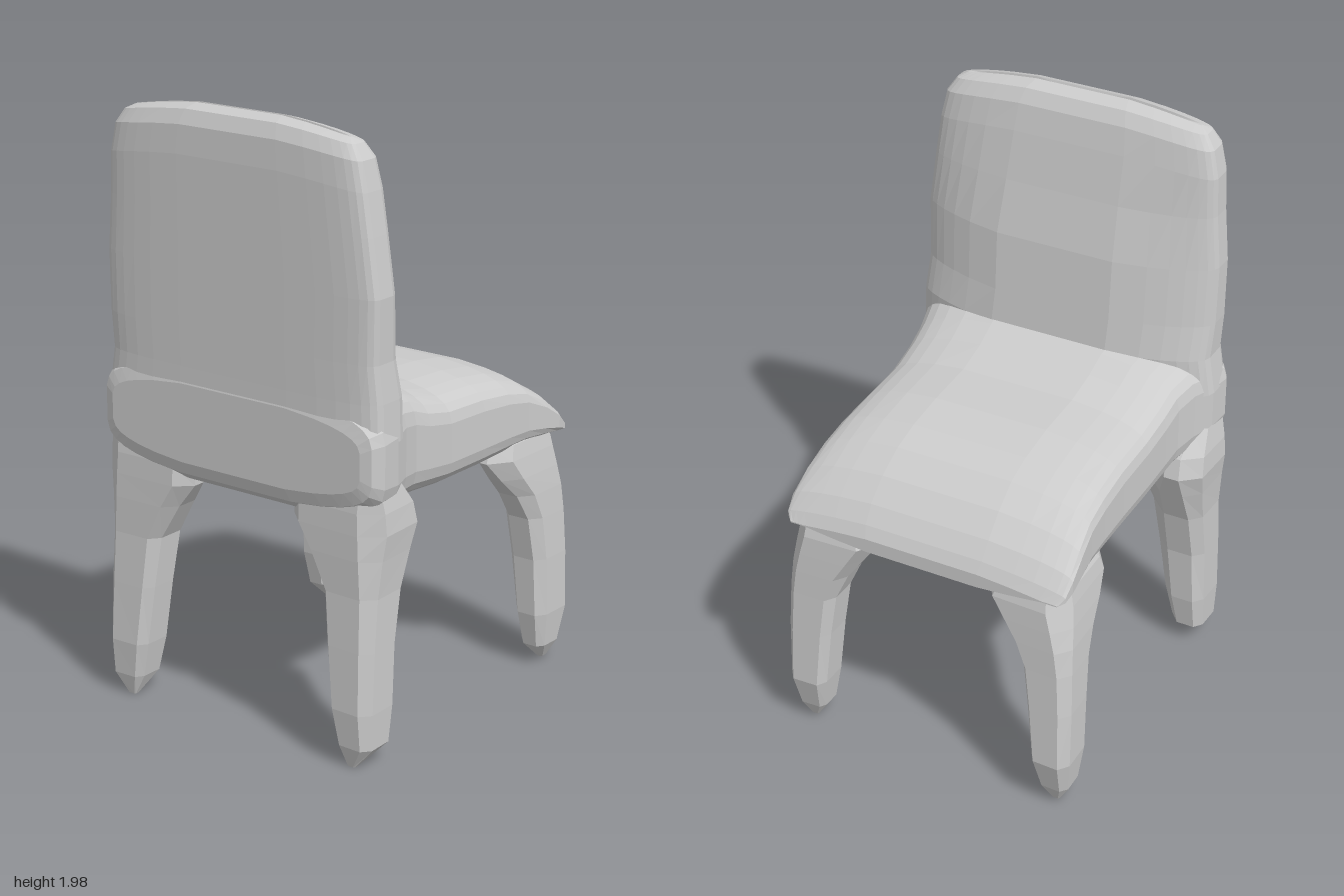
import * as THREE from 'three';

const material = new THREE.MeshStandardMaterial({
  color: 0xcccccc, flatShading: true, side: THREE.DoubleSide,
});

// Skin through rings of equal length; capEnd is the ring to close, the other end
// runs open into its neighbour. capBoth closes both.
function loft(name, rings, capRings) {
  const n = rings[0].length;
  const points = rings.flat();
  const index = [];
  for (let r = 0; r < rings.length - 1; r++) {
    for (let i = 0; i < n; i++) {
      const a = r * n + i, b = r * n + (i + 1) % n;
      index.push(a, b, a + n, b, b + n, a + n);
    }
  }
  for (const r of capRings) {
    const centre = new THREE.Vector3();
    rings[r].forEach(p => centre.addScaledVector(p, 1 / n));
    const c = points.push(centre) - 1;
    for (let i = 0; i < n; i++) {
      const a = r * n + i, b = r * n + (i + 1) % n;
      index.push(c, r ? a : b, r ? b : a);
    }
  }
  // Turn all faces outward, measuring volume from the middle of the part
  const middle = new THREE.Box3().setFromPoints(points).getCenter(new THREE.Vector3());
  const local = points.map(p => p.clone().sub(middle));
  const cross = new THREE.Vector3();
  let volume = 0;
  for (let i = 0; i < index.length; i += 3) {
    cross.crossVectors(local[index[i + 1]], local[index[i + 2]]);
    volume += local[index[i]].dot(cross);
  }
  if (volume < 0) index.reverse();
  const geometry = new THREE.BufferGeometry().setFromPoints(points);
  geometry.setIndex(index);
  geometry.computeVertexNormals();
  const mesh = new THREE.Mesh(geometry, material);
  mesh.name = name;
  return mesh;
}

// Points of a rounded rectangle spanning -1..1.
function roundedUnit(count, power) {
  return Array.from({ length: count }, (_, i) => {
    const t = (i + 0.5) / count * Math.PI * 2;
    const c = Math.cos(t), s = Math.sin(t);
    return [Math.sign(c) * Math.abs(c) ** (2 / power), Math.sign(s) * Math.abs(s) ** (2 / power)];
  });
}

// Leg ring: outer and inner x, outer and inner z, with the inner corner cut by a fraction.
function legRing(side, [y, xOut, xIn, zOut, zIn, cut]) {
  const at = (u, v) => new THREE.Vector3(
    0.008 + side * THREE.MathUtils.lerp(xOut, xIn, u), y, THREE.MathUtils.lerp(zOut, zIn, v));
  return [at(0.2, 0), at(0.85, 0.02), at(1, 0.2), at(1, 1 - cut),
    at(1 - cut, 1), at(0.2, 1), at(0.02, 0.8), at(0, 0.2)];
}

export function createModel() {
  const group = new THREE.Group();
  group.name = 'chair';

  // Seat, running back under the backrest: z, half width, top, underside
  const seatSections = [
    [0.572, 0.49, 1.13, 0.86],
    [0.56, 0.525, 1.17, 0.82],
    [0.52, 0.545, 1.19, 0.79],
    [0.44, 0.535, 1.20, 0.775],
    [0.36, 0.505, 1.21, 0.765],
    [0.28, 0.485, 1.19, 0.76],
    [0.20, 0.48, 1.155, 0.755],
    [0.08, 0.475, 1.125, 0.745],
    [-0.10, 0.475, 1.115, 0.745],
    [-0.24, 0.48, 1.095, 0.755],
    [-0.34, 0.485, 1.065, 0.765],
    [-0.43, 0.495, 1.01, 0.77],
    [-0.50, 0.50, 0.945, 0.775],
    [-0.54, 0.495, 0.89, 0.78],
    [-0.56, 0.475, 0.85, 0.79],
  ];
  const seatOutline = roundedUnit(28, 5);
  group.add(loft('seat', seatSections.map(([z, w, top, low]) => seatOutline.map(([u, v]) => {
    const bow = 0.035 * u * u * v;
    return new THREE.Vector3(0.015 + u * w, THREE.MathUtils.lerp(low, top, (v + 1) / 2) - bow, z);
  })), [0, seatSections.length - 1]));

  // Backrest: y, left and right limits, front at the edges, front at the middle, rear
  const backSections = [
    [1.05, -0.525, 0.55, 0.37, 0.31, 0.572],
    [1.18, -0.505, 0.545, 0.37, 0.285, 0.57],
    [1.30, -0.51, 0.535, 0.395, 0.295, 0.57],
    [1.50, -0.51, 0.54, 0.41, 0.315, 0.57],
    [1.68, -0.495, 0.515, 0.41, 0.36, 0.57],
    [1.85, -0.49, 0.495, 0.41, 0.395, 0.57],
    [1.94, -0.47, 0.475, 0.42, 0.415, 0.565],
    [1.985, -0.44, 0.445, 0.445, 0.44, 0.545],
    [2.00, -0.41, 0.415, 0.49, 0.49, 0.505],
  ];
  const backOutline = roundedUnit(32, 5);
  group.add(loft('backrest', backSections.map(([y, x0, x1, edge, middle, rear]) =>
    backOutline.map(([u, v]) => {
      const front = THREE.MathUtils.lerp(middle, edge, u * u);
      const droop = y > 1.8 ? 0.04 * u * u : 0;
      return new THREE.Vector3(
        THREE.MathUtils.lerp(x0, x1, (u + 1) / 2),
        y - droop,
        THREE.MathUtils.lerp(front, rear, (v + 1) / 2));
    })), [backSections.length - 1]));

  // Legs: y, outer x, inner x, outer z, inner z, inner corner cut;
  // pointed feet, flaring at the top into the arches
  const backLeg = [
    [0.01, 0.465, 0.435, 0.555, 0.53, 0.3],
    [0.08, 0.525, 0.40, 0.575, 0.43, 0.3],
    [0.20, 0.53, 0.375, 0.585, 0.41, 0.3],
    [0.40, 0.53, 0.35, 0.575, 0.40, 0.3],
    [0.57, 0.53, 0.33, 0.565, 0.365, 0.35],
    [0.69, 0.54, 0.26, 0.565, 0.32, 0.5],
    [0.77, 0.55, 0.20, 0.563, 0.29, 0.65],
    [0.84, 0.545, 0.20, 0.56, 0.31, 0.65],
    [0.92, 0.53, 0.28, 0.55, 0.38, 0.6],
  ];
  const frontLeg = [
    [0.02, 0.465, 0.44, -0.52, -0.49, 0.3],
    [0.08, 0.50, 0.40, -0.55, -0.43, 0.3],
    [0.20, 0.515, 0.38, -0.585, -0.405, 0.3],
    [0.40, 0.515, 0.36, -0.578, -0.395, 0.3],
    [0.55, 0.51, 0.34, -0.572, -0.37, 0.35],
    [0.64, 0.505, 0.30, -0.57, -0.32, 0.45],
    [0.71, 0.498, 0.25, -0.567, -0.25, 0.6],
    [0.78, 0.488, 0.20, -0.563, -0.19, 0.7],
    [0.83, 0.478, 0.22, -0.55, -0.21, 0.7],
    [0.88, 0.455, 0.27, -0.515, -0.27, 0.7],
  ];
  for (const side of [1, -1]) {
    group.add(loft('backLeg', backLeg.map(s => legRing(side, s)), [0]));
    group.add(loft('frontLeg', frontLeg.map(s => legRing(side, s)), [0]));
  }
  return group;
}
